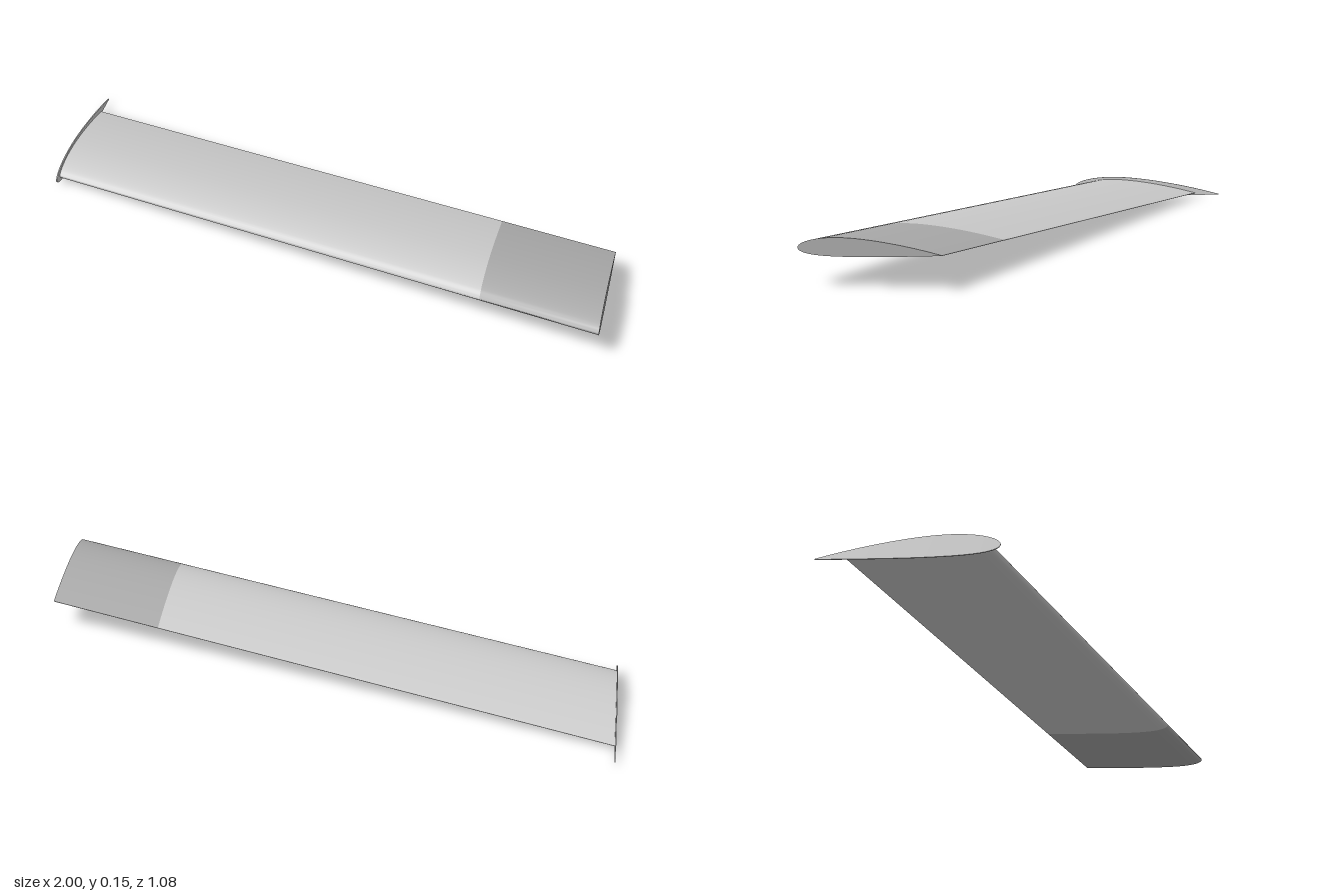
import * as THREE from 'three';
import { toCreasedNormals } from 'three/addons/utils/BufferGeometryUtils.js';

const CHORD = 0.45, STEPS = 32;

// Cambered airfoil: [distance behind nose, height], from upper trailing edge round the nose to the lower one
function airfoil(thickness = 0.13, camber = 0.02, peak = 0.4) {
  const points = [];
  for (let i = 0; i <= 2 * STEPS; i++) {
    const u = (1 + Math.cos(Math.PI * i / STEPS)) / 2;
    const half = 5 * thickness * (0.2969 * Math.sqrt(u) - 0.126 * u - 0.3516 * u ** 2 + 0.2843 * u ** 3 - 0.1015 * u ** 4);
    const mean = u < peak
      ? camber / peak ** 2 * (2 * peak * u - u * u)
      : camber / (1 - peak) ** 2 * (1 - 2 * peak + 2 * peak * u - u * u);
    points.push([u, mean + (i <= STEPS ? half : -half)]);
  }
  return points;
}

// Section at span position x, following sweep and dihedral, scaled about its quarter chord
function section(x, scale = 1) {
  const t = (x + 1) / 2;
  const noseZ = 0.535 * t, noseY = 0.029 + 0.09 * t;
  return airfoil().map(([u, h]) => [
    x,
    noseY - 0.0025 + (h * CHORD - 0.01 * (u - 0.25)) * scale,
    noseZ - CHORD * (0.25 + (u - 0.25) * scale),
  ]);
}

// Closed skin between two sections, a on the -x side and b on the +x side
function loft(a, b) {
  const n = a.length, index = [];
  for (let i = 0; i < n; i++) {
    const j = (i + 1) % n;
    index.push(i, j, n + i, j, n + j, n + i);
  }
  for (let i = 0; i < STEPS; i++) {
    const k = n - 1 - i;
    index.push(n + i, n + i + 1, n + k, i, k, i + 1);
    if (i < STEPS - 1) index.push(n + i + 1, n + k - 1, n + k, i + 1, k, k - 1);
  }
  const geometry = new THREE.BufferGeometry();
  geometry.setAttribute('position', new THREE.Float32BufferAttribute([...a, ...b].flat(), 3));
  geometry.setIndex(index);
  return toCreasedNormals(geometry, 0.7);
}

export function createModel() {
  const group = new THREE.Group();
  group.name = 'wing';
  const add = (name, geometry, color = 0xcccccc) => {
    const mesh = new THREE.Mesh(geometry, new THREE.MeshStandardMaterial({ color }));
    mesh.name = name;
    group.add(mesh);
  };

  // Main panel and the darker root panel
  add('mainPanel', loft(section(-0.998), section(0.6)));
  add('rootPanel', loft(section(0.6), section(1)), 0xaaaaaa);

  // Thin enlarged airfoil plate closing the tip
  const plate = section(-1, 1.27);
  add('tipPlate', loft(plate, plate.map(([x, y, z]) => [x + 0.004, y, z])));

  return group;
}
